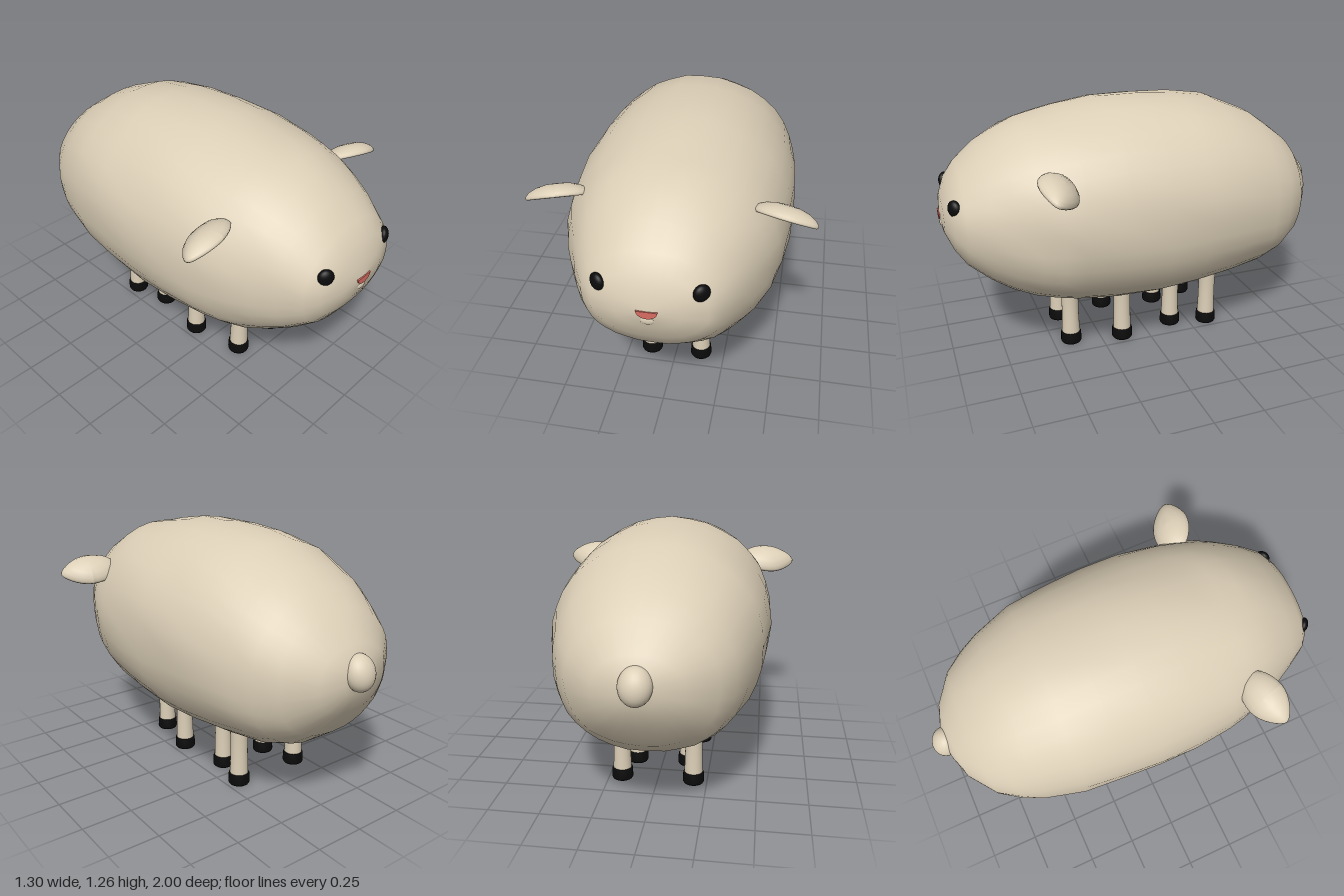
import * as THREE from 'three';

const mat = (name, color, side = THREE.FrontSide) => {
  const m = new THREE.MeshStandardMaterial({ color, side });
  m.name = name;
  return m;
};

// Lofted body: rings of [z, top, bottom, half width], slightly lumpy
function bodyGeometry() {
  const rings = [
    [-0.945, 0.72, 0.72, 0], [-0.935, 0.79, 0.64, 0.09], [-0.9, 0.86, 0.55, 0.2],
    [-0.8, 0.99, 0.41, 0.335], [-0.7, 1.065, 0.335, 0.4], [-0.6, 1.13, 0.3, 0.445],
    [-0.4, 1.215, 0.275, 0.505], [-0.2, 1.245, 0.25, 0.525], [0, 1.255, 0.235, 0.537],
    [0.2, 1.252, 0.245, 0.535], [0.4, 1.22, 0.268, 0.515], [0.5, 1.2, 0.285, 0.495],
    [0.6, 1.18, 0.31, 0.46], [0.7, 1.135, 0.355, 0.415], [0.8, 1.075, 0.42, 0.365],
    [0.9, 0.99, 0.51, 0.305], [0.95, 0.92, 0.59, 0.25], [0.985, 0.84, 0.67, 0.14], [0.997, 0.75, 0.75, 0],
  ];
  const n = 36, pos = [], index = [];
  rings.forEach(([z, top, bottom, hw], i) => {
    for (let j = 0; j < n; j++) {
      const a = (j / n) * Math.PI * 2, c = Math.cos(a), s = Math.sin(a);
      const power = s < 0 ? 0.88 : 0.98; // fuller underside
      const lump = 1 + 0.008 * Math.sin(j * 2.3 + i * 1.7) * Math.cos(j * 1.1 - i * 2.9);
      const x = Math.sign(c) * Math.abs(c) ** power * hw * lump;
      const y = (top + bottom) / 2 + Math.sign(s) * Math.abs(s) ** power * ((top - bottom) / 2) * lump;
      pos.push(x, y, z);
      if (i < rings.length - 1) {
        const p = i * n + j, q = i * n + (j + 1) % n;
        index.push(p, q, q + n, p, q + n, p + n);
      }
    }
  });
  const g = new THREE.BufferGeometry();
  g.setAttribute('position', new THREE.Float32BufferAttribute(pos, 3));
  g.setIndex(index);
  g.computeVertexNormals();
  return g;
}

// Leaf-shaped lathe: x along the ear, y towards its hollow side, z across
function earGeometry(profile) {
  const g = new THREE.LatheGeometry(profile.map(([r, y]) => new THREE.Vector2(r, y)), 32);
  const p = g.attributes.position;
  for (let i = 0; i < p.count; i++) {
    const x = p.getX(i), z = p.getZ(i);
    const taper = x > 0 ? 1 - 0.38 * x * x : 1;
    p.setXYZ(i, x * 0.15, p.getY(i), z * 0.1 * taper);
  }
  g.computeVertexNormals();
  return g;
}

export function createModel() {
  const root = new THREE.Group();
  root.name = 'sheep';
  const wool = mat('cream wool', 0xdccfb7);
  const pink = mat('pink skin', 0xd96c62, THREE.DoubleSide);
  const black = mat('black', 0x0b0b0c);

  const add = (name, geometry, material, parent = root) => {
    const m = new THREE.Mesh(geometry, material);
    m.name = name;
    parent.add(m);
    return m;
  };

  add('body', bodyGeometry(), wool);

  // Tail
  const tail = add('tail', new THREE.SphereGeometry(1, 24, 16), wool);
  tail.scale.set(0.073, 0.085, 0.065);
  tail.position.set(0, 0.74, -0.937);
  tail.rotation.x = 0.3;

  // Four pairs of legs with hooves
  const legGeo = new THREE.LatheGeometry(
    [[0.047, 0.05], [0.045, 0.1], [0.043, 0.18], [0.044, 0.26], [0.05, 0.34]].map(([r, y]) => new THREE.Vector2(r, y)), 20);
  const hoofGeo = new THREE.LatheGeometry(
    [[0, 0], [0.05, 0], [0.054, 0.008], [0.052, 0.054], [0.048, 0.06], [0, 0.06]].map(([r, y]) => new THREE.Vector2(r, y)), 20);
  for (const [x, z] of [[0.13, 0.405], [0.182, 0.14], [0.135, -0.153], [0.182, -0.348]]) {
    for (const side of [1, -1]) {
      const leg = new THREE.Group();
      leg.name = side > 0 ? 'leftLeg' : 'rightLeg';
      leg.position.set(x * side, 0, z);
      add('shin', legGeo, wool, leg);
      add('hoof', hoofGeo, black, leg);
      root.add(leg);
    }
  }

  // Ears: cream shell with a rolled rim, pink hollow
  const shellGeo = earGeometry([[0, -0.052], [0.35, -0.049], [0.65, -0.038], [0.88, -0.02], [0.98, -0.004],
    [1, 0.006], [0.96, 0.013], [0.88, 0.01], [0.8, -0.004]]);
  const hollowGeo = earGeometry([[0.84, 0.003], [0.7, -0.012], [0.4, -0.023], [0, -0.027]]);
  for (const side of [1, -1]) {
    const along = new THREE.Vector3(0.95 * side, -0.07, 0.25).normalize();
    const inner = new THREE.Vector3(0, -0.85, 0.52);
    inner.addScaledVector(along, -inner.dot(along)).normalize();
    const across = new THREE.Vector3().crossVectors(along, inner);
    const ear = new THREE.Group();
    ear.name = side > 0 ? 'leftEar' : 'rightEar';
    ear.quaternion.setFromRotationMatrix(new THREE.Matrix4().makeBasis(along, inner, across));
    ear.position.set(0.508 * side, 0.978, 0.53);
    add('earShell', shellGeo, wool, ear);
    add('earHollow', hollowGeo, pink, ear);
    root.add(ear);

    // Eye
    const eye = add(side > 0 ? 'leftEye' : 'rightEye', new THREE.SphereGeometry(1, 20, 14), black);
    eye.scale.set(0.038, 0.04, 0.024);
    eye.position.set(0.215 * side, 0.845, 0.94);
    eye.rotation.y = 0.6 * side;
  }

  // Nose: thin half disc, flat side up
  const noseShape = new THREE.Shape();
  noseShape.moveTo(-0.046, 0.015);
  noseShape.bezierCurveTo(-0.04, -0.032, 0.04, -0.032, 0.046, 0.015);
  noseShape.closePath();
  const nose = add('nose', new THREE.ExtrudeGeometry(noseShape, { depth: 0.009, bevelEnabled: false, curveSegments: 12 }), pink);
  nose.position.set(0, 0.748, 0.991);

  // Small chin bump under the nose
  const mouth = add('mouth', new THREE.SphereGeometry(1, 16, 12), wool);
  mouth.scale.set(0.034, 0.024, 0.014);
  mouth.position.set(0, 0.712, 0.984);

  return root;
}
